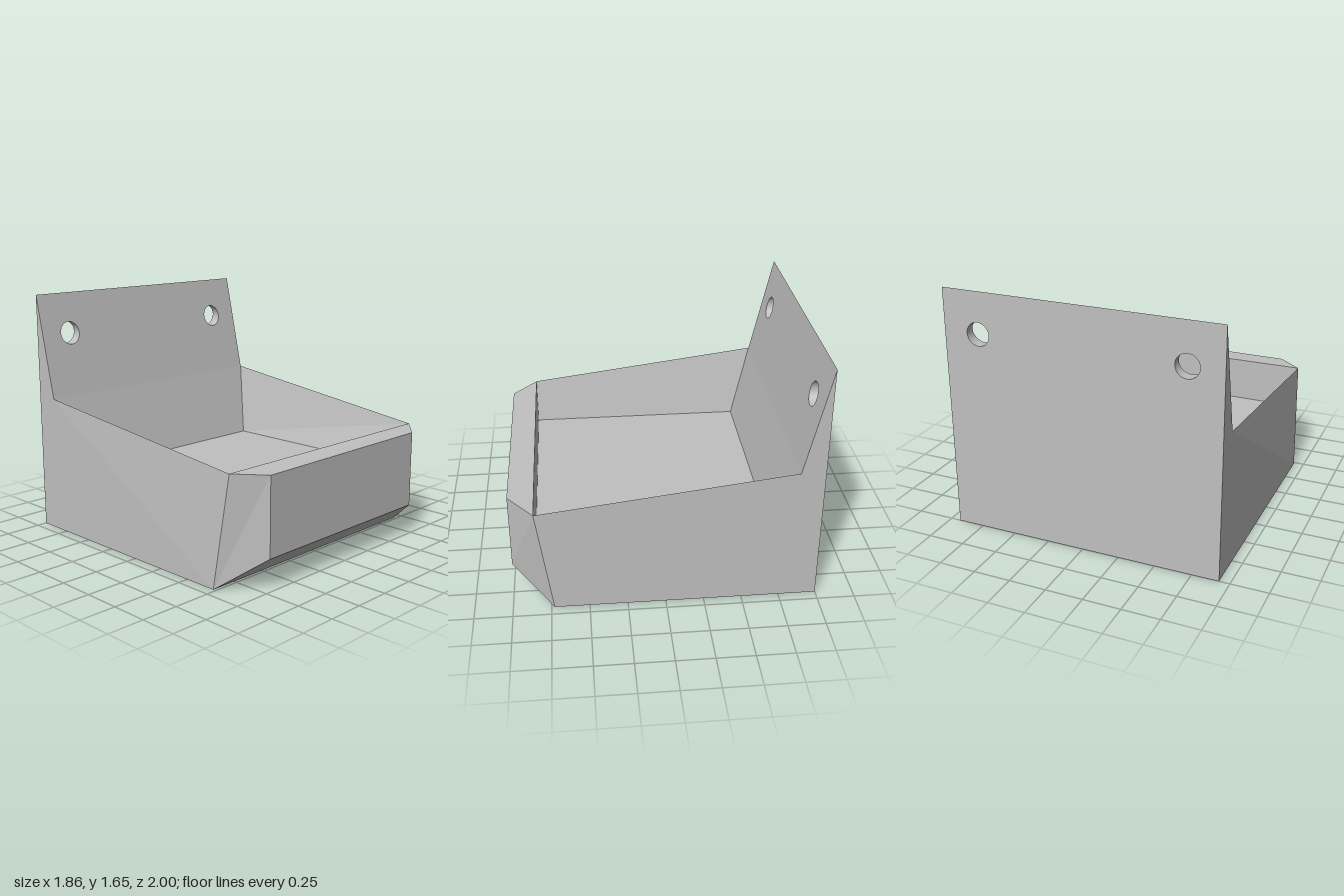
import * as THREE from 'three';

const grey = new THREE.MeshStandardMaterial({ color: 0xc0c0c0 });
grey.name = 'plain grey';

// Flat panel: a fan over corners listed counter-clockwise from outside
function panel(name, ...corners) {
  const pos = [];
  for (let i = 1; i < corners.length - 1; i++) {
    pos.push(...corners[0], ...corners[i], ...corners[i + 1]);
  }
  const geo = new THREE.BufferGeometry();
  geo.setAttribute('position', new THREE.Float32BufferAttribute(pos, 3));
  geo.computeVertexNormals();
  const mesh = new THREE.Mesh(geo, grey);
  mesh.name = name;
  return mesh;
}

// Mounting plate: holed shape, tapering to a knife edge at the top
function mountingPlate(w, y0, y1, thickness) {
  const shape = new THREE.Shape();
  shape.moveTo(-w, y0).lineTo(w, y0).lineTo(w, y1).lineTo(-w, y1).closePath();
  for (const x of [-0.7, 0.69]) {
    const hole = new THREE.Path();
    hole.absarc(x, 1.37, 0.078, 0, Math.PI * 2, true);
    shape.holes.push(hole);
  }
  const geo = new THREE.ExtrudeGeometry(shape, { depth: 1, bevelEnabled: false, curveSegments: 24 });
  const p = geo.attributes.position;
  for (let i = 0; i < p.count; i++) {
    const depth = thickness * (y1 - p.getY(i)) / (y1 - y0);
    p.setZ(i, -1 + p.getZ(i) * depth);
  }
  geo.computeVertexNormals();
  const mesh = new THREE.Mesh(geo, grey);
  mesh.name = 'mountingPlate';
  return mesh;
}

export function createModel() {
  const group = new THREE.Group();
  group.name = 'wallTray';
  const W = 0.93, H = 0.94;

  // Outer base corners
  const baseBL = [-W, 0, -1], baseBR = [W, 0, -1];
  const baseFL = [-W, 0, 0.73], baseFR = [W, 0, 0.73];
  // Rim corners
  const rimBL = [-W, H, -0.84], rimBR = [W, H, -0.84];
  const rimFL = [-0.893, 0.74, 0.83], rimFR = [W, 0.73, 0.83];
  const backL = [-W, H, -1], backR = [W, H, -1];
  // Front face corners
  const frontTL = [-0.72, 0.73, 1], frontTR = [0.72, 0.73, 1];
  const frontBL = [-0.72, 0.21, 1], frontBR = [0.72, 0.21, 1];
  // Tray floor corners
  const floorBL = [-0.83, 0.43, -0.7], floorBR = [0.82, 0.43, -0.7];
  const floorFL = [-0.83, 0.43, 0.83], floorFR = [0.82, 0.43, 0.83];

  group.add(
    mountingPlate(W, H, 1.65, 0.16),
    // Outside shell
    panel('underside', baseBL, baseBR, baseFR, baseFL),
    panel('backFace', backL, backR, baseBR, baseBL),
    panel('sideNegativeX', rimBL, backL, baseBL, baseFL, rimFL),
    panel('sidePositiveX', rimBR, rimFR, baseFR, baseBR, backR),
    // Front with sloped corners, chin and lip
    panel('frontFace', frontTR, frontTL, frontBL, frontBR),
    panel('frontChin', frontBR, frontBL, baseFL, baseFR),
    panel('cornerPositiveX', rimFR, frontTR, frontBR, baseFR),
    panel('cornerNegativeX', frontTL, rimFL, baseFL, frontBL),
    panel('frontLip', rimFR, rimFL, frontTL, frontTR),
    // Tray interior
    panel('trayFloor', floorBR, floorBL, floorFL, floorFR),
    panel('innerBack', rimBR, rimBL, floorBL, floorBR),
    panel('innerFront', rimFL, rimFR, floorFR, floorFL),
    panel('innerNegativeX', rimBL, rimFL, floorFL, floorBL),
    panel('innerPositiveX', rimFR, rimBR, floorBR, floorFR),
  );
  return group;
}
